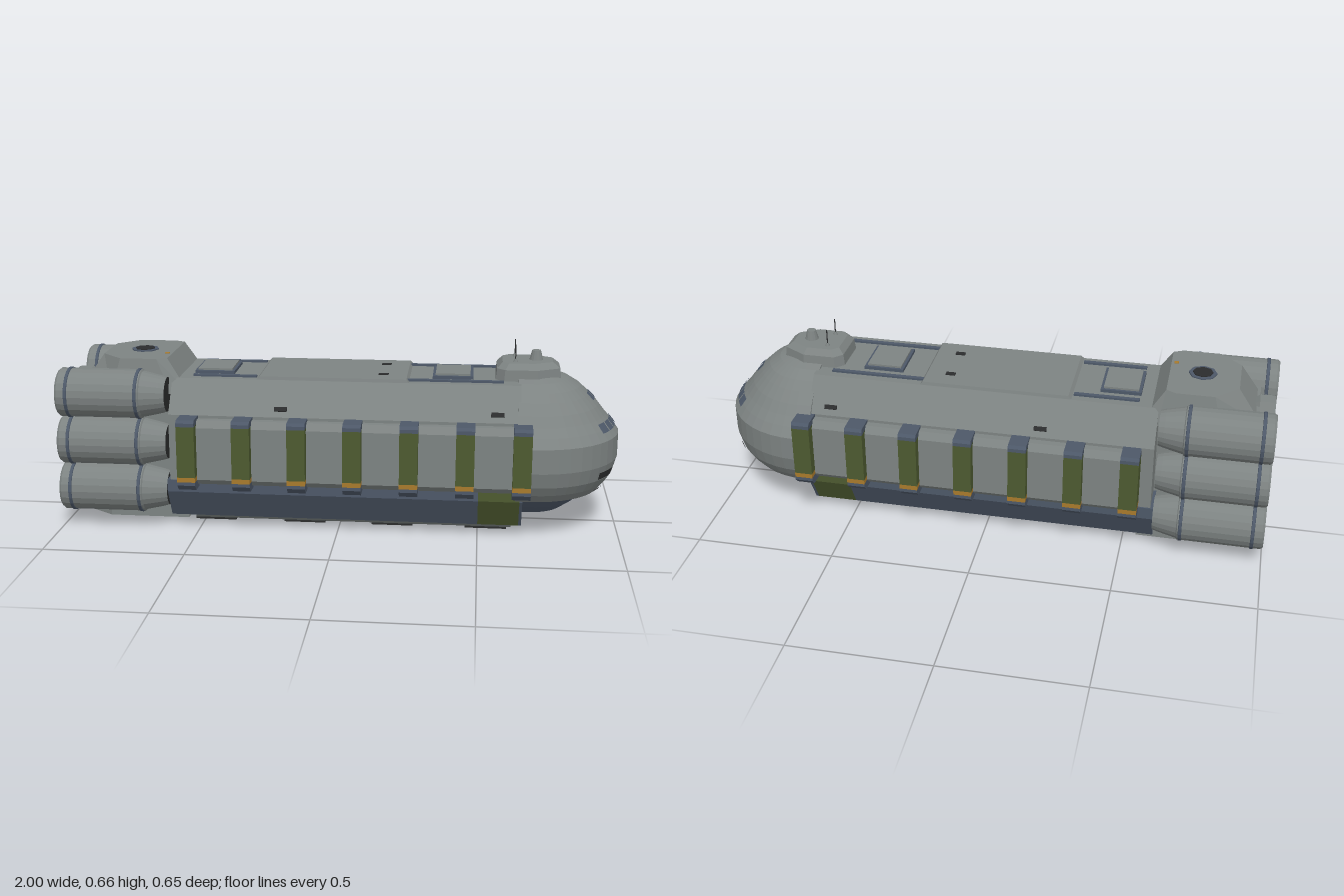
import * as THREE from 'three';

const mat = (name, color, side = THREE.FrontSide) => {
  const m = new THREE.MeshStandardMaterial({ color, flatShading: true, side });
  m.name = name;
  return m;
};

export function createModel() {
  const grey = mat('hull grey', 0x7d8382);
  const slate = mat('slate blue', 0x4d5868);
  const green = mat('olive green', 0x4d5a30);
  const dark = mat('dark metal', 0x2b2c2d);
  const orange = mat('warning orange', 0xa87a2c);
  const model = new THREE.Group();

  const add = (name, geo, material, x = 0, y = 0, z = 0, parent = model) => {
    const m = new THREE.Mesh(geo, material);
    m.name = name;
    m.position.set(x, y, z);
    parent.add(m);
    return m;
  };
  // Box given by its limits on each axis
  const box = (name, material, x0, x1, y0, y1, z0, z1) =>
    add(name, new THREE.BoxGeometry(x1 - x0, y1 - y0, z1 - z0), material,
      (x0 + x1) / 2, (y0 + y1) / 2, (z0 + z1) / 2);
  // Cross-section of [z, y] points swept from x0 to x1
  const sweep = (name, material, pts, x0, x1) => {
    const shape = new THREE.Shape(pts.map(([z, y]) => new THREE.Vector2(-z, y)));
    const geo = new THREE.ExtrudeGeometry(shape, { depth: x1 - x0, bevelEnabled: false });
    return add(name, geo.rotateY(Math.PI / 2), material, x0);
  };
  const mirrored = (half) => [...half, ...half.map(([z, y]) => [-z, y]).reverse()];
  // Plan outline of [x, z] points raised from y0 to y1, its top scaled about cx
  const raise = (name, material, half, y0, y1, cx = 0, sx = 1, sz = 1) => {
    const shape = new THREE.Shape(mirrored(half.map(([x, z]) => [z, x])).map(([z, x]) => new THREE.Vector2(x, z)));
    const geo = new THREE.ExtrudeGeometry(shape, { depth: y1 - y0, bevelEnabled: false }).rotateX(-Math.PI / 2);
    const p = geo.attributes.position;
    for (let i = 0; i < p.count; i++) {
      if (p.getY(i) > (y1 - y0) / 2) {
        p.setX(i, cx + (p.getX(i) - cx) * sx);
        p.setZ(i, p.getZ(i) * sz);
      }
    }
    geo.computeVertexNormals();
    return add(name, geo, material, 0, y0, 0);
  };
  // Turned part lying along x; each point is [radius, distance towards the stern]
  const turned = (name, material, pts, y, z, sides = 22) =>
    add(name, new THREE.LatheGeometry(pts.map((p) => new THREE.Vector2(...p)), sides).rotateZ(Math.PI / 2),
      material, 0, y, z);

  // Main hull and belly
  sweep('hull', grey, mirrored([[0.245, 0.17], [0.245, 0.43], [0.16, 0.545]]), -0.6, 0.64);
  const belly = mirrored([[0.19, 0.04], [0.25, 0.146], [0.25, 0.19]]);
  sweep('belly', slate, belly, -0.61, 0.5);
  sweep('bellyFrontPanel', green, belly, 0.5, 0.645);
  sweep('bellyFrontLip', slate, belly, 0.645, 0.655);

  // Rounded nose, with a short straight collar behind it
  const noseX = 0.685;
  const chin = [[0, 0.06], [0.12, 0.068], [0.165, 0.1], [0.2, 0.137], [0.25, 0.15]];
  const dome = [[0.25, 0.15], [0.275, 0.18], [0.297, 0.215], [0.312, 0.27], [0.312, 0.357], [0.288, 0.39],
    [0.262, 0.42], [0.235, 0.455], [0.2, 0.492], [0.17, 0.52], [0.13, 0.545], [0.08, 0.56], [0, 0.565]];
  for (const [name, pts, material] of [['noseChin', chin, slate], ['nose', dome, grey]]) {
    add(name, new THREE.LatheGeometry(pts.map((p) => new THREE.Vector2(...p)), 22, 0, Math.PI), material, noseX);
    sweep(name + 'Collar', material, mirrored(pts), 0.63, noseX);
  }

  // Thin curved plates laid on the nose
  const radiusAt = (y) => {
    const i = dome.findIndex((p) => p[1] >= y);
    const [a, b] = [dome[i - 1], dome[i]];
    return a[0] + (b[0] - a[0]) * (y - a[1]) / (b[1] - a[1]);
  };
  const nosePlate = (name, material, y0, y1, z, w) => {
    const r0 = radiusAt(y0) + 0.005, r1 = radiusAt(y1) + 0.005, r = (r0 + r1) / 2;
    const a = Math.asin((z - w / 2) / r), b = Math.asin((z + w / 2) / r);
    add(name, new THREE.CylinderGeometry(r1, r0, y1 - y0, 4, 1, true, Math.PI / 2 - b, b - a),
      material, noseX, (y0 + y1) / 2);
  };
  for (let i = -3; i <= 3; i++) nosePlate('lowerWindow', slate, 0.383, 0.411, i * 0.0477, 0.041);
  for (let i = -1; i <= 1; i++) nosePlate('upperWindow', slate, 0.474, 0.5, i * 0.038, 0.033);
  for (const s of [-1, 1]) {
    nosePlate('noseVent', dark, 0.222, 0.248, s * 0.16, 0.08);
    nosePlate('lowerNoseVent', dark, 0.165, 0.174, s * 0.13, 0.045);
  }

  // Side ribs, in coloured bands, and the armour panels between them
  const ribX = [-0.525, -0.33, -0.135, 0.06, 0.257, 0.452, 0.648];
  const bands = [
    ['ribFoot', slate, [[0.24, 0.172], [0.302, 0.172], [0.323, 0.193], [0.323, 0.205], [0.24, 0.205]]],
    ['ribStripe', orange, [[0.24, 0.205], [0.323, 0.205], [0.323, 0.222], [0.24, 0.222]]],
    ['ribBody', green, [[0.24, 0.222], [0.323, 0.222], [0.323, 0.407], [0.24, 0.407]]],
    ['ribCap', slate, [[0.24, 0.407], [0.323, 0.407], [0.323, 0.42], [0.315, 0.43], [0.24, 0.43]]],
  ];
  const panel = [[0.24, 0.185], [0.27, 0.185], [0.288, 0.205], [0.288, 0.395], [0.27, 0.42], [0.24, 0.42]];
  for (const s of [-1, 1]) {
    const flip = (pts) => pts.map(([z, y]) => [z * s, y]);
    ribX.forEach((x, i) => {
      for (const [name, material, pts] of bands) sweep(name, material, flip(pts), x - 0.032, x + 0.032);
      if (i < 6) sweep('sidePanel', grey, flip(panel), x + 0.032, ribX[i + 1] - 0.032);
    });
    // Small dark vents on the sloping shoulders and the belly
    for (const x of [-0.2, 0.56]) {
      const vent = add('shoulderVent', new THREE.BoxGeometry(0.045, 0.016, 0.008), dark, x, 0.455, s * 0.228);
      vent.rotation.x = -s * 0.64;
    }
    // Deck rails
    box('deckRailAft', slate, -0.53, -0.3, 0.54, 0.552, s * 0.122 - 0.008, s * 0.122 + 0.008);
    box('deckRailFore', slate, 0.23, 0.58, 0.54, 0.552, s * 0.122 - 0.008, s * 0.122 + 0.008);
    box('deckVent', dark, 0.135, 0.17, 0.556, 0.559, s * 0.08 - 0.01, s * 0.08 + 0.01);
    // Keel skids with dark pads
    sweep('keelRail', grey, flip([[0.08, 0.04], [0.085, 0.015], [0.14, 0.015], [0.168, 0.04]]), -0.53, 0.62);
    for (const x of [-0.46, -0.13, 0.19, 0.53]) {
      box('keelPad', dark, x - 0.075, x + 0.075, 0.003, 0.03, s * 0.105 - 0.022, s * 0.105 + 0.022);
    }
  }
  box('keelSpine', grey, -0.53, 0.6, 0.022, 0.042, -0.065, 0.065);
  box('keelPanel', dark, -0.25, 0.35, 0.018, 0.024, -0.05, 0.05);

  // Raised deck plate and hatches
  raise('deckPlate', grey, [[-0.3, 0.16], [0.25, 0.16]], 0.54, 0.556, 0, 0.95, 0.97);
  for (const x of [-0.46, 0.4]) {
    box('hatchFrame', slate, x - 0.072, x + 0.072, 0.54, 0.556, -0.084, 0.084);
    box('hatch', grey, x - 0.062, x + 0.062, 0.545, 0.563, -0.074, 0.074);
  }

  // Bridge with turret and antennas
  raise('bridge', grey, [[0.55, 0.07], [0.58, 0.1], [0.7, 0.1], [0.785, 0.05]], 0.535, 0.585, 0.66, 0.95, 0.95);
  raise('bridgeRoof', grey, [[0.556, 0.066], [0.584, 0.095], [0.698, 0.095], [0.779, 0.047]], 0.585, 0.606, 0.65, 0.8, 0.8);
  add('turret', new THREE.CylinderGeometry(0.016, 0.026, 0.04, 14), grey, 0.695, 0.62, 0);
  for (const z of [-0.047, 0.047]) {
    add('antennaBase', new THREE.CylinderGeometry(0.004, 0.01, 0.014, 8), grey, 0.62, 0.61, z);
    add('antenna', new THREE.CylinderGeometry(0.002, 0.002, 0.06, 6), dark, 0.62, 0.638, z);
  }
  box('bridgeLamp', orange, 0.735, 0.75, 0.575, 0.588, -0.06, -0.045);

  // Engine housing: core, sloped top fairing and base plate
  box('engineCore', grey, -0.94, -0.58, 0.05, 0.52, -0.13, 0.13);
  const fairing = raise('engineFairing', grey,
    [[-0.95, 0.1], [-0.82, 0.185], [-0.6, 0.185], [-0.54, 0.165]], 0.49, 0.612, -0.74, 0.6, 0.88);
  fairing.geometry.computeVertexNormals();
  add('fairingVent', new THREE.CylinderGeometry(0.05, 0.05, 0.006, 8), slate, -0.735, 0.613, 0);
  add('fairingVentGrille', new THREE.CylinderGeometry(0.036, 0.036, 0.006, 8), dark, -0.735, 0.616, 0);
  box('fairingMark', orange, -0.645, -0.63, 0.61, 0.615, 0.055, 0.07);
  raise('engineBase', grey, [[-0.94, 0.11], [-0.84, 0.18], [-0.55, 0.18]], 0.025, 0.07);

  // Engines: three large ones a side, small six-sided ones in the middle
  const bell = (name, r, x0, x1, y, z, sides) => {
    turned(name, grey, [[r * 0.7, x0], [r, x0 + 0.02], [r, x1 - 0.008], [r * 0.93, x1], [r * 0.8, x1]], y, z, sides);
    turned(name + 'Liner', slate, [[r * 0.8, x1], [r * 0.68, x1 - 0.045]], y, z, sides);
    turned(name + 'Core', dark, [[r * 0.68, x1 - 0.045], [0, x1 - 0.045]], y, z, sides);
  };
  for (const y of [0.145, 0.319, 0.493]) {
    for (const z of [-0.2, 0.2]) {
      turned('engineIntake', dark, [[0, 0.61], [0.062, 0.61]], y, z);
      turned('engineShoulder', grey, [[0.062, 0.61], [0.068, 0.63], [0.084, 0.7]], y, z);
      bell('mainEngine', 0.088, 0.68, 1, y, z, 22);
      for (const x of [0.71, 0.96]) {
        turned('engineRing', slate, [[0.086, x - 0.007], [0.091, x - 0.005], [0.091, x + 0.005], [0.086, x + 0.007]], y, z);
      }
    }
    bell('centreEngine', 0.052, 0.92, 0.995, y, 0, 6);
  }
  for (const z of [-0.085, 0.085]) bell('smallThruster', 0.028, 0.9, 0.985, 0.043, z, 6);

  return model;
}
